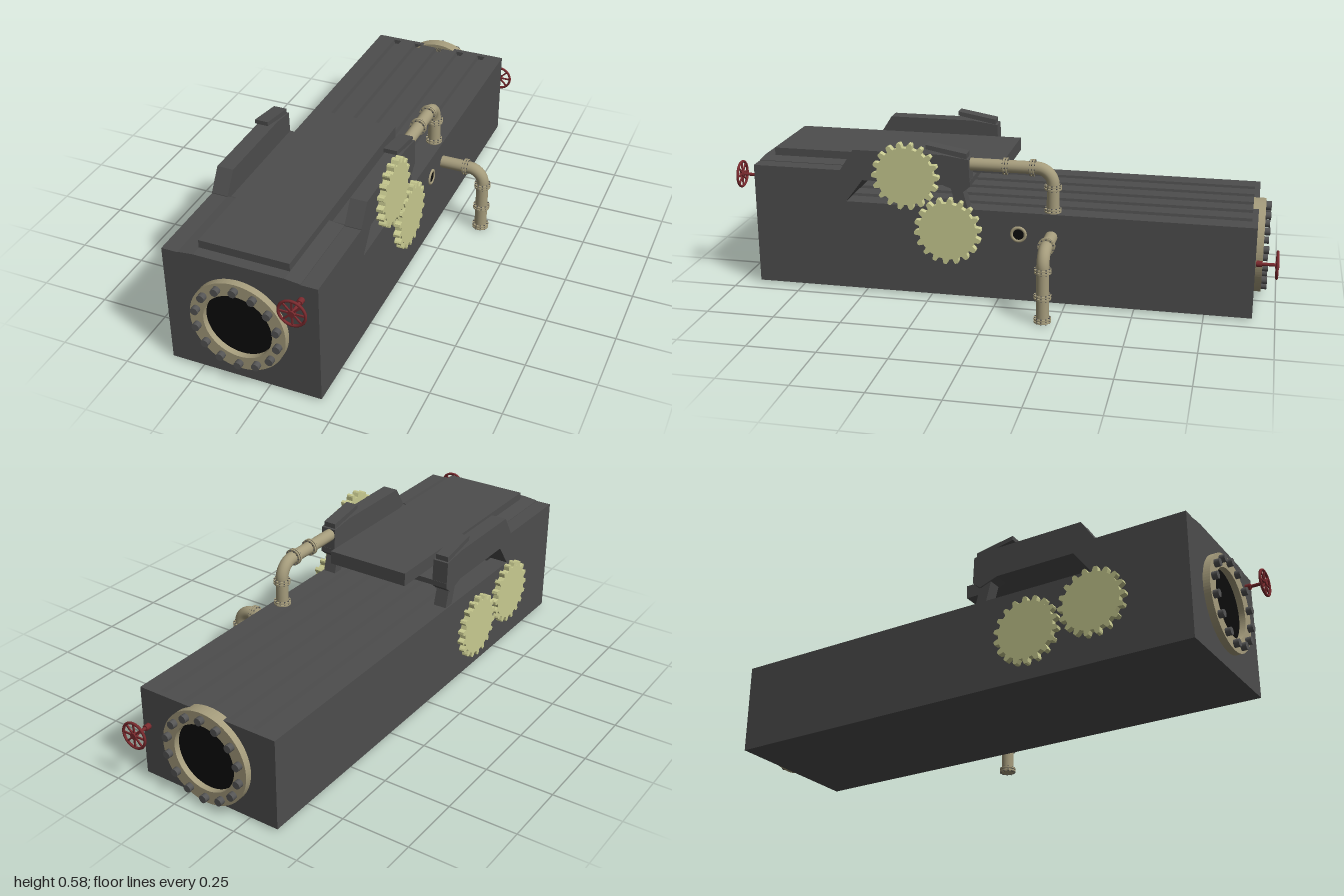
import * as THREE from 'three';

const V = (x, y, z) => new THREE.Vector3(x, y, z);
const mat = (color, flatShading = false) => new THREE.MeshStandardMaterial({ color, flatShading });
const iron = mat(0x4d4d4d, true), dark = mat(0x0c0c0c), brass = mat(0xa59c7c), gearMat = mat(0xc8ca90, true);
const boltMat = mat(0x555555), red = mat(0x7a2a2e);
const X0 = -0.365, X1 = 0.188;

function add(parent, name, geo, material, pos = [0, 0, 0], rot = [0, 0, 0]) {
  const m = new THREE.Mesh(geo, material);
  m.name = name;
  m.position.set(...pos);
  m.rotation.set(...rot);
  parent.add(m);
  return m;
}
const shapeOf = pts => new THREE.Shape(pts.map(p => new THREE.Vector2(...p)));
const extrude = (shape, depth, curveSegments = 48) =>
  new THREE.ExtrudeGeometry(shape, { depth, bevelEnabled: false, curveSegments });
// Side profile given as (z, y), extruded from x to x + width
const sideExtrude = (pts, x, width) =>
  extrude(shapeOf(pts.map(([z, y]) => [-z, y])), width).rotateY(Math.PI / 2).translate(x, 0, 0);

// Bolted ring around a dark opening, facing +z
function portFlange(name) {
  const g = new THREE.Group();
  g.name = name;
  const ring = new THREE.Shape().absarc(0, 0, 0.173, 0, Math.PI * 2);
  ring.holes.push(new THREE.Path().absarc(0, 0, 0.124, 0, Math.PI * 2, true));
  add(g, 'flangeRing', extrude(ring, 0.045), brass, [0, 0, -0.02]);
  add(g, 'opening', new THREE.CircleGeometry(0.126, 48), dark, [0, 0, 0.003]);
  for (let i = 0; i < 14; i++) {
    const a = Math.PI / 2 + i * Math.PI / 7;
    add(g, 'flangeBolt', new THREE.CylinderGeometry(0.014, 0.014, 0.045, 16), boltMat,
      [0.15 * Math.cos(a), 0.15 * Math.sin(a), 0.0225], [Math.PI / 2, 0, 0]);
  }
  return g;
}

// Spoked valve wheel on a stem, facing +z
function valveWheel(name) {
  const g = new THREE.Group();
  g.name = name;
  add(g, 'wheelRim', new THREE.TorusGeometry(0.047, 0.005, 8, 40), red, [0, 0, 0.072]);
  add(g, 'wheelHub', new THREE.CylinderGeometry(0.012, 0.012, 0.014, 16), red, [0, 0, 0.072], [Math.PI / 2, 0, 0]);
  add(g, 'wheelStem', new THREE.CylinderGeometry(0.006, 0.006, 0.075, 12), red, [0, 0, 0.036], [Math.PI / 2, 0, 0]);
  add(g, 'stemNut', new THREE.CylinderGeometry(0.011, 0.011, 0.02, 12), red, [0, 0, 0.01], [Math.PI / 2, 0, 0]);
  for (let i = 0; i < 8; i++) {
    const a = i * Math.PI / 4;
    add(g, 'wheelSpoke', new THREE.BoxGeometry(0.045, 0.006, 0.005), red,
      [0.0235 * Math.cos(a), 0.0235 * Math.sin(a), 0.072], [0, 0, a]);
  }
  return g;
}

// Toothed disc lying in the yz plane, starting at x
function gear(parent, name, x, y, z, phase) {
  const pts = [], n = 18, step = Math.PI * 2 / n;
  for (let i = 0; i < n; i++)
    for (const [f, r] of [[-0.3, 0.106], [-0.2, 0.12], [-0.12, 0.125], [0.12, 0.125], [0.2, 0.12], [0.3, 0.106]]) {
      const a = (i + f) * step + phase;
      pts.push([r * Math.cos(a), r * Math.sin(a)]);
    }
  add(parent, name, extrude(shapeOf(pts), 0.027), gearMat, [x, y, z], [0, Math.PI / 2, 0]);
}

// Pipe with one rounded elbow, plus bolted collars at given points
function pipe(name, start, corner, end, bend, collars) {
  const g = new THREE.Group();
  g.name = name;
  const toward = t => corner.clone().add(t.clone().sub(corner).setLength(bend));
  const a = toward(start), b = toward(end);
  const path = new THREE.CurvePath();
  path.add(new THREE.LineCurve3(start, a));
  path.add(new THREE.CubicBezierCurve3(a, a.clone().lerp(corner, 0.55), b.clone().lerp(corner, 0.55), b));
  path.add(new THREE.LineCurve3(b, end));
  add(g, 'pipeTube', new THREE.TubeGeometry(path, 60, 0.023, 20), brass);
  for (const [pos, dir] of collars) {
    const c = new THREE.Group();
    c.name = 'pipeCollar';
    for (const s of [-1, 1])
      add(c, 'collarRing', new THREE.CylinderGeometry(0.031, 0.031, 0.006, 24), brass, [0, s * 0.005, 0]);
    for (let i = 0; i < 10; i++) {
      const t = i * Math.PI / 5;
      add(c, 'collarBolt', new THREE.CylinderGeometry(0.003, 0.003, 0.021, 6), boltMat,
        [0.027 * Math.cos(t), 0, 0.027 * Math.sin(t)]);
    }
    c.position.copy(pos);
    c.quaternion.setFromUnitVectors(V(0, 1, 0), dir);
    g.add(c);
  }
  return g;
}

export function createModel() {
  const root = new THREE.Group();
  root.name = 'machine';
  const W = X1 - X0, cx = (X0 + X1) / 2;

  // Long bed with lengthwise grooves, closed by an end wall
  const bed = [[X0, 0.007], [X1, 0.007], [X1, 0.345]];
  for (let i = 4; i >= 0; i--) {
    const x = cx + (i - 2) * 0.095;
    bed.push([x + 0.016, 0.345], [x + 0.012, 0.328], [x - 0.012, 0.328], [x - 0.016, 0.345]);
  }
  bed.push([X0, 0.345]);
  add(root, 'groovedBed', extrude(shapeOf(bed), 1.467), iron, [0, 0, -0.9]);
  add(root, 'bedEndWall', new THREE.BoxGeometry(W, 0.338, 0.02), iron, [cx, 0.176, -0.91]);

  // Tall front block with overhanging deck
  add(root, 'frontBlock', sideExtrude([[0.92, 0.007], [0.92, 0.463], [0.585, 0.463], [0.56, 0.45], [0.1, 0.45],
    [0.1, 0.43], [0.503, 0.43], [0.567, 0.345], [0.567, 0.007]], X0, W), iron);
  add(root, 'deckCrown', extrude(shapeOf([[-0.305, 0.46], [0.128, 0.46], [0.128, 0.465], [0.073, 0.471],
    [-0.25, 0.471], [-0.305, 0.465]]), 0.335), iron, [0, 0, 0.585]);
  add(root, 'topPlate', new THREE.BoxGeometry(0.323, 0.05, 0.88), iron, [-0.0885, 0.475, 0.44]);

  // Side arms, each with a tilted cap and a leaning post
  for (const x of [X0, X1 - 0.06]) {
    add(root, 'sideArm', sideExtrude([[0.585, 0.43], [0.585, 0.465], [0.535, 0.543], [0.2, 0.543], [0.105, 0.53],
      [0.1, 0.43], [0.13, 0.405], [0.2, 0.43]], x, 0.06), iron);
    add(root, 'armCap', sideExtrude([[0.262, 0.56], [0.262, 0.576], [0.113, 0.55], [0.113, 0.53]], x + 0.005, 0.05), iron);
    add(root, 'armPost', sideExtrude([[0.175, 0.43], [0.13, 0.42], [0.108, 0.34], [0.15, 0.34]], x + 0.005, 0.05), iron);
  }

  // Bolted ports and valve wheels at both ends
  const frontPort = portFlange('frontPort'), backPort = portFlange('backPort');
  frontPort.position.set(-0.093, 0.24, 0.92);
  backPort.position.set(-0.093, 0.186, -0.92);
  const frontWheel = valveWheel('frontValveWheel'), backWheel = valveWheel('backValveWheel');
  frontWheel.position.set(0.131, 0.407, 0.92);
  backWheel.position.set(0.16, 0.205, -0.923);
  backPort.rotation.y = backWheel.rotation.y = Math.PI;
  root.add(frontPort, backPort, frontWheel, backWheel);

  // Meshing gear pairs on both sides
  gear(root, 'rightUpperGear', 0.186, 0.46, 0.335, 0);
  gear(root, 'rightLowerGear', 0.186, 0.262, 0.18, 0.1);
  gear(root, 'leftFrontGear', -0.388, 0.22, 0.575, 0);
  gear(root, 'leftRearGear', -0.388, 0.18, 0.325, 0.17);

  // Pipes: arm down to the bed, and bed side down to the ground
  const up = V(0, 1, 0), along = V(0, 0, 1), across = V(1, 0, 0);
  root.add(pipe('upperPipe', V(0.152, 0.505, 0.12), V(0.152, 0.505, -0.197), V(0.152, 0.335, -0.197), 0.06,
    [[V(0.152, 0.505, -0.025), along], [V(0.152, 0.505, -0.123), along], [V(0.152, 0.437, -0.197), up], [V(0.152, 0.352, -0.197), up]]));
  root.add(pipe('outletPipe', V(0.18, 0.26, -0.197), V(0.353, 0.26, -0.197), V(0.353, 0.001, -0.197), 0.055,
    [[V(0.285, 0.26, -0.197), across], [V(0.353, 0.195, -0.197), up], [V(0.353, 0.098, -0.197), up], [V(0.353, 0.0105, -0.197), up]]));

  // Small round side port
  add(root, 'sidePortRing', new THREE.TorusGeometry(0.025, 0.006, 10, 32), brass, [X1, 0.262, -0.078], [0, Math.PI / 2, 0]);
  add(root, 'sidePortOpening', new THREE.CircleGeometry(0.024, 32), dark, [X1 + 0.002, 0.262, -0.078], [0, Math.PI / 2, 0]);
  return root;
}
